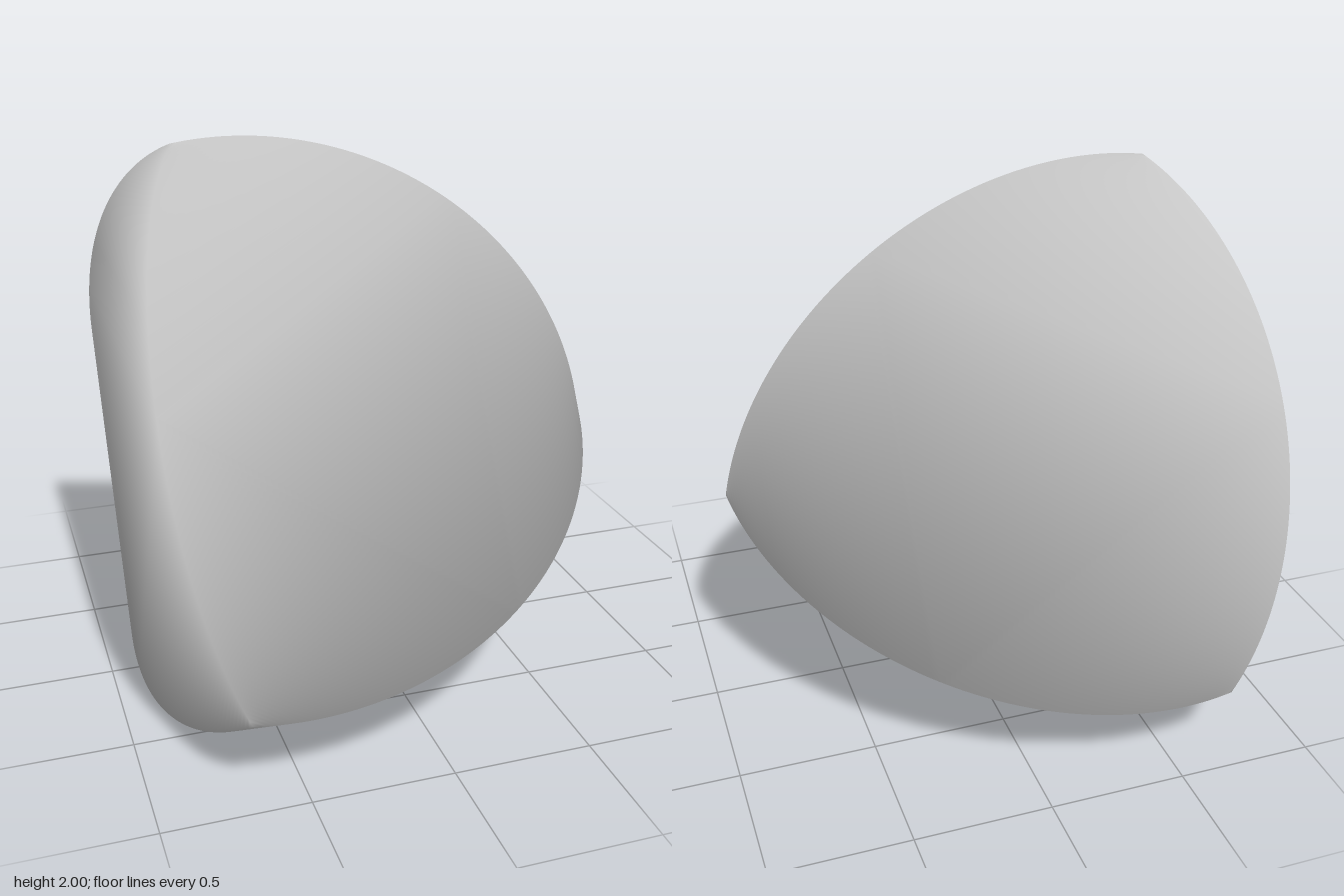
import * as THREE from 'three';
import { mergeVertices } from 'three/addons/utils/BufferGeometryUtils.js';

const A = 1.0594;   // distance from the centre to each of the six flat-face corners
const B = 1.27;     // other half-axis of the elliptical ridges
const STEPS = 40;

// Three perpendicular axes, tilted so that their sum points along +x.
const s = Math.sqrt;
const AXES = [
  new THREE.Vector3(s(1 / 3), s(2 / 3), 0),
  new THREE.Vector3(s(1 / 3), -s(1 / 6), s(1 / 2)),
  new THREE.Vector3(s(1 / 3), -s(1 / 6), -s(1 / 2)),
];

function createBody() {
  const positions = [];
  const triangle = (...points) => points.forEach((p) => positions.push(p.x, p.y, p.z));
  const endAngle = Math.atan2(Math.SQRT2 / B, 1 / A);

  // Triangular rings that shrink along three elliptical ridges to a tip.
  function addBulge(corners) {
    const axis = corners[0].clone().add(corners[1]).add(corners[2]).normalize();
    const ring = (k) => corners.map((u) => {
      const v = axis.clone().addScaledVector(u, -axis.dot(u)).normalize();
      const angle = endAngle * k / STEPS;
      return u.clone().multiplyScalar(A * Math.cos(angle)).addScaledVector(v, B * Math.sin(angle));
    });
    for (let k = 0; k < STEPS; k++) {
      const low = ring(k), high = ring(k + 1);
      for (let i = 0; i < 3; i++) {
        const j = (i + 1) % 3;
        triangle(low[i], low[j], high[j]);
        if (k < STEPS - 1) triangle(low[i], high[j], high[i]);
      }
    }
  }

  // Eight octants: four bulges alternate with four flat triangles.
  for (const x of [1, -1]) for (const y of [1, -1]) for (const z of [1, -1]) {
    const corners = [x, y, z].map((sign, i) => AXES[i].clone().multiplyScalar(sign));
    if (x * y * z > 0) addBulge(corners);
    else triangle(...corners.reverse().map((c) => c.multiplyScalar(A)));
  }

  const geometry = new THREE.BufferGeometry();
  geometry.setAttribute('position', new THREE.Float32BufferAttribute(positions, 3));
  const merged = mergeVertices(geometry, 1e-4);
  merged.computeVertexNormals();
  return merged;
}

export function createModel() {
  const group = new THREE.Group();
  group.name = 'roundedTetrahedron';
  const body = new THREE.Mesh(createBody(), new THREE.MeshStandardMaterial({ color: 0xcccccc }));
  body.name = 'body';
  body.position.set(-0.287, 0.865, 0);
  group.add(body);
  return group;
}
